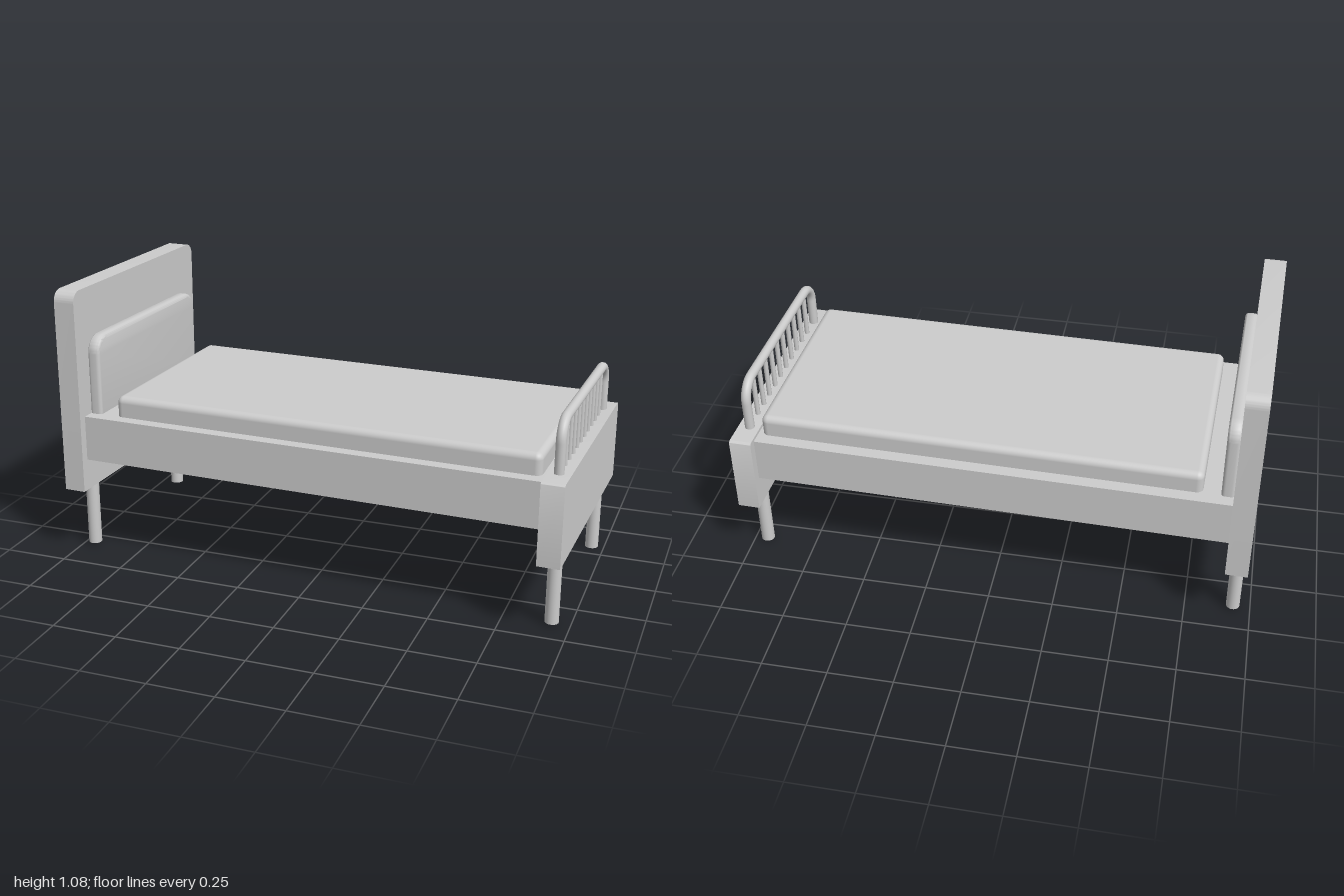
import * as THREE from 'three';
import { toCreasedNormals } from 'three/addons/utils/BufferGeometryUtils.js';
import { RoundedBoxGeometry } from 'three/addons/geometries/RoundedBoxGeometry.js';

// Upright panel facing x: square bottom corners, rounded top corners
function panelGeometry(x0, x1, halfWidth, y0, y1, r, bevel = 0) {
  const w = halfWidth - bevel, b = y0 + bevel, t = y1 - bevel;
  const s = new THREE.Shape();
  s.moveTo(-w, b);
  s.lineTo(w, b);
  s.lineTo(w, t - r);
  s.absarc(w - r, t - r, r, 0, Math.PI / 2, false);
  s.lineTo(-w + r, t);
  s.absarc(-w + r, t - r, r, Math.PI / 2, Math.PI, false);
  s.closePath();
  const depth = x1 - x0 - 2 * bevel;
  const g = new THREE.ExtrudeGeometry(s, {
    depth, curveSegments: 8, bevelEnabled: bevel > 0,
    bevelSize: bevel, bevelThickness: bevel, bevelSegments: 4,
  });
  g.translate(0, 0, -depth / 2);
  g.rotateY(-Math.PI / 2);
  g.translate((x0 + x1) / 2, 0, 0);
  return toCreasedNormals(g, 0.6);
}

export function createModel() {
  const model = new THREE.Group();
  const bed = new THREE.Group();
  bed.name = 'bed';
  model.add(bed);

  const grey = new THREE.MeshStandardMaterial({ color: 0xcccccc });
  grey.name = 'light grey';

  const add = (name, geometry, x = 0, y = 0, z = 0) => {
    const mesh = new THREE.Mesh(geometry, grey);
    mesh.name = name;
    mesh.position.set(x, y, z);
    bed.add(mesh);
  };

  // End boards and the padded panel in front of the headboard
  add('headboard', panelGeometry(-0.986, -0.902, 0.48, 0.274, 1.074, 0.045));
  add('footboard', panelGeometry(0.9, 0.985, 0.48, 0.274, 0.587, 0.014));
  add('headPad', panelGeometry(-0.905, -0.855, 0.4, 0.55, 0.884, 0.055, 0.014));

  // Base and mattress
  add('bedBase', new THREE.BoxGeometry(1.81, 0.177, 0.892), 0, 0.4865, 0);
  add('mattress', new RoundedBoxGeometry(1.674, 0.115, 0.796, 4, 0.026), 0.047, 0.5985, 0);

  // Legs
  const legGeometry = new THREE.CylinderGeometry(0.026, 0.026, 0.28, 24);
  for (const x of [-0.944, 0.941])
    for (const z of [-0.353, 0.353]) add('leg', legGeometry, x, 0.146, z);

  // Bent tube rail over the footboard
  const railX = 0.94, railY = 0.776, railZ = 0.375, bend = 0.075;
  const k = bend * 0.552;
  const p = (y, z) => new THREE.Vector3(railX, y, z);
  const path = new THREE.CurvePath();
  path.add(new THREE.LineCurve3(p(0.57, -railZ), p(railY - bend, -railZ)));
  path.add(new THREE.CubicBezierCurve3(
    p(railY - bend, -railZ), p(railY - bend + k, -railZ),
    p(railY, -railZ + bend - k), p(railY, -railZ + bend)));
  path.add(new THREE.LineCurve3(p(railY, -railZ + bend), p(railY, railZ - bend)));
  path.add(new THREE.CubicBezierCurve3(
    p(railY, railZ - bend), p(railY, railZ - bend + k),
    p(railY - bend + k, railZ), p(railY - bend, railZ)));
  path.add(new THREE.LineCurve3(p(railY - bend, railZ), p(0.57, railZ)));
  add('footRail', new THREE.TubeGeometry(path, 120, 0.0185, 16, false));

  // Spindles under the rail
  const spindle = new THREE.CylinderGeometry(0.0095, 0.0095, 0.2, 12);
  for (let i = 0; i < 10; i++)
    add('spindle', spindle, railX, 0.675, -0.289 + i * 0.0642);

  // The bed stands very slightly turned and tilted
  bed.rotation.set(-0.007, -0.028, -0.0037);
  return model;
}
